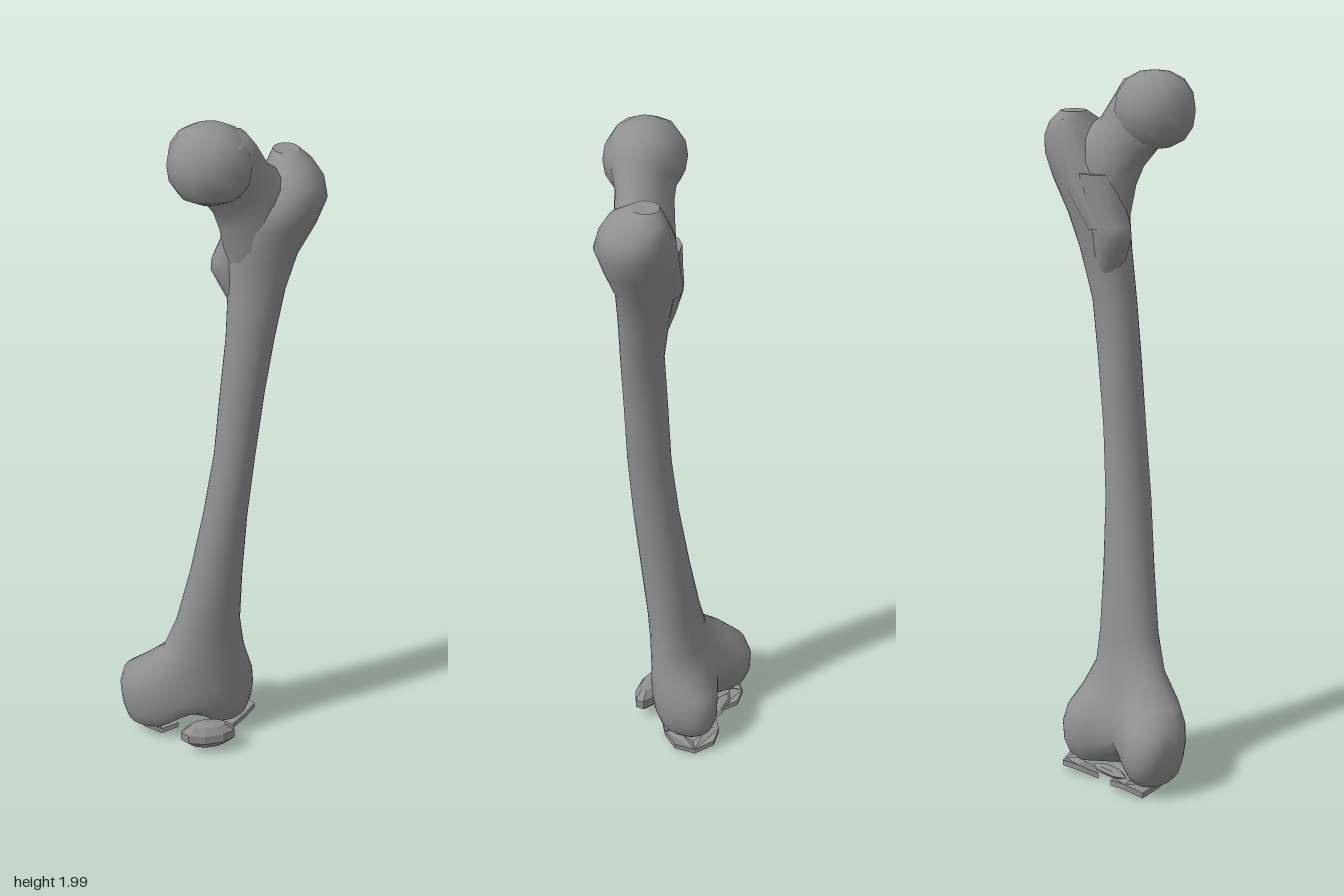
import * as THREE from 'three';
import { mergeVertices } from 'three/addons/utils/BufferGeometryUtils.js';

const bone = new THREE.MeshStandardMaterial({ color: 0x909090 });
const chipped = new THREE.MeshStandardMaterial({ color: 0x909090, flatShading: true, side: THREE.DoubleSide });

function part(name, geometry, material = bone) {
  const mesh = new THREE.Mesh(geometry, material);
  mesh.name = name;
  return mesh;
}

// Skin over oval sections; each is [x0, y0, x1, y1, zBack, zFront, notch, arch].
// notch splits the back into two square lobes, arch lifts the middle.
function loft(sections, sides = 16) {
  const pos = [], index = [];
  for (const [x0, y0, x1, y1, zb, zf, notch = 0, arch = 0] of sections) {
    for (let i = 0; i < sides; i++) {
      const t = (i / sides) * Math.PI * 2;
      let c = Math.cos(t), s = Math.sin(t);
      if (s < 0) {
        const p = 1 - 0.8 * notch;
        c = Math.sign(c) * Math.abs(c) ** p;
        s = -(Math.abs(s) ** p) * (1 - notch * Math.exp(-((c / 0.45) ** 2)));
      }
      pos.push(
        (x0 + x1 + c * (x1 - x0)) / 2,
        (y0 + y1 + c * (y1 - y0)) / 2 + arch * Math.exp(-((c / 0.4) ** 2)),
        (zb + zf + s * (zf - zb)) / 2,
      );
    }
  }
  const last = (sections.length - 1) * sides;
  for (let r = 0; r < last; r += sides) {
    for (let i = 0; i < sides; i++) {
      const j = (i + 1) % sides;
      index.push(r + i, r + sides + i, r + j, r + j, r + sides + i, r + sides + j);
    }
  }
  // end caps with their own rim, so the edge stays crisp
  for (const [start, top] of [[0, false], [last, true]]) {
    const ring = pos.slice(start * 3, (start + sides) * 3), base = pos.length / 3;
    const mid = [0, 1, 2].map((k) => ring.reduce((sum, v, i) => (i % 3 === k ? sum + v / sides : sum), 0));
    pos.push(...ring, ...mid);
    for (let i = 0; i < sides; i++) {
      const a = base + i, b = base + ((i + 1) % sides);
      index.push(base + sides, ...(top ? [b, a] : [a, b]));
    }
  }
  const g = new THREE.BufferGeometry();
  g.setAttribute('position', new THREE.Float32BufferAttribute(pos, 3));
  g.setIndex(index);
  g.computeVertexNormals();
  return g;
}

// Ellipsoid with adjustable squareness k (2 = round)
function blob(center, radii, k = 2, w = 12, h = 8) {
  let g = new THREE.SphereGeometry(1, w, h);
  g.deleteAttribute('uv');
  g.deleteAttribute('normal');
  g = mergeVertices(g);
  const p = g.attributes.position, v = new THREE.Vector3();
  for (let i = 0; i < p.count; i++) {
    v.fromBufferAttribute(p, i);
    v.divideScalar((Math.abs(v.x) ** k + Math.abs(v.y) ** k + Math.abs(v.z) ** k) ** (1 / k));
    p.setXYZ(i, v.x * radii[0], v.y * radii[1], v.z * radii[2]);
  }
  g.computeVertexNormals();
  return g.translate(...center);
}

// Thin broken crescent lying under a condyle
function crescent(cx, cz, rx, rz, from, to) {
  const n = 7, outer = [], inner = [];
  for (let i = 0; i <= n; i++) {
    const t = from + ((to - from) * i) / n, jag = i % 2 ? 1 : 0.9;
    outer.push(new THREE.Vector2(Math.cos(t) * rx * jag, Math.sin(t) * rz * jag));
    inner.unshift(new THREE.Vector2(Math.cos(t) * rx * 0.5, Math.sin(t) * rz * 0.5));
  }
  const g = new THREE.ExtrudeGeometry(new THREE.Shape([...outer, ...inner]), { depth: 0.016, bevelEnabled: false });
  g.rotateX(-Math.PI / 2);
  const p = g.attributes.position;
  for (let i = 0; i < p.count; i++) {
    const a = Math.atan2(p.getZ(i), p.getX(i));
    p.setY(i, p.getY(i) + 0.022 + 0.012 * Math.sin(a * 3));
  }
  return g.translate(cx, 0, cz);
}

export function createModel() {
  const model = new THREE.Group();
  model.name = 'thighBone';

  // Knee condyles, shaft and greater trochanter as one skin
  const level = (y, x0, x1, zb, zf, notch, arch) => [x0, y, x1, y, zb, zf, notch, arch];
  model.add(part('shaft', loft([
    level(0.04, -0.25, 0.075, -0.145, 0.015, 0.5, 0.06),
    level(0.06, -0.268, 0.092, -0.17, 0.045, 0.52, 0.055),
    level(0.10, -0.28, 0.106, -0.186, 0.06, 0.52, 0.03),
    level(0.15, -0.286, 0.112, -0.188, 0.067, 0.5, 0.01),
    level(0.20, -0.278, 0.108, -0.173, 0.067, 0.42),
    level(0.25, -0.24, 0.094, -0.128, 0.064, 0.25),
    level(0.32, -0.165, 0.075, -0.085, 0.062),
    level(0.42, -0.125, 0.062, -0.077, 0.07),
    level(0.60, -0.085, 0.065, -0.055, 0.085),
    level(0.80, -0.05, 0.075, -0.033, 0.10),
    level(1.00, -0.02, 0.095, -0.02, 0.105),
    level(1.20, -0.003, 0.12, -0.018, 0.103),
    level(1.36, 0.012, 0.145, -0.016, 0.10),
    level(1.50, 0.02, 0.175, -0.04, 0.095),
    level(1.60, 0.015, 0.21, -0.06, 0.09),
    level(1.69, 0.02, 0.26, -0.08, 0.107),
    level(1.76, 0.075, 0.285, -0.088, 0.118),
    level(1.81, 0.11, 0.277, -0.088, 0.10),
    level(1.85, 0.13, 0.25, -0.08, 0.075),
    level(1.88, 0.145, 0.215, -0.055, 0.02),
  ], 32)));

  // Neck leaning inward and forward to the ball
  model.add(part('neck', loft([
    [0.03, 1.52, 0.20, 1.64, -0.04, 0.08],
    [-0.003, 1.68, 0.20, 1.79, -0.055, 0.102],
    [-0.022, 1.735, 0.165, 1.835, -0.04, 0.112],
    [-0.057, 1.785, 0.12, 1.87, -0.02, 0.13],
    [-0.105, 1.815, 0.085, 1.935, -0.01, 0.168],
    [-0.13, 1.85, 0.055, 1.975, -0.01, 0.178],
    [-0.12, 1.90, 0.01, 1.985, 0.02, 0.15],
  ])));
  model.add(part('head', blob([-0.037, 1.894, 0.085], [0.112, 0.106, 0.106], 2.3)));

  // Bump on the inner back side, blending into the shaft and neck
  model.add(part('lesserTrochanter', loft([
    level(1.43, 0.04, 0.10, -0.02, 0.05),
    level(1.50, 0.003, 0.10, -0.042, 0.05),
    level(1.55, -0.022, 0.10, -0.052, 0.045),
    level(1.58, -0.02, 0.11, -0.057, 0.045),
    level(1.63, 0.003, 0.13, -0.065, 0.05),
    level(1.72, 0.02, 0.16, -0.072, 0.05),
  ], 12)));
  // Ridge running up to the greater trochanter
  model.add(part('rearCrest', loft([
    [0.01, 1.58, 0.10, 1.56, -0.062, 0.02],
    [0.06, 1.69, 0.17, 1.65, -0.08, 0.02],
    [0.11, 1.80, 0.22, 1.78, -0.09, 0.02],
    [0.145, 1.86, 0.20, 1.86, -0.07, 0.0],
  ], 10)));

  // Cartilage remnants under the joint and the chip in front
  model.add(part('innerCartilage', crescent(-0.165, -0.09, 0.08, 0.085, 0.5, 5.3), chipped));
  model.add(part('outerCartilage', crescent(0.03, -0.09, 0.092, 0.092, -2.2, 2.6), chipped));
  model.add(part('rearCartilage', blob([-0.09, 0.045, -0.13], [0.07, 0.013, 0.022], 2, 6, 4), chipped));
  model.add(part('frontChip', blob([-0.045, 0.068, 0.082], [0.086, 0.044, 0.038], 2, 9, 5), chipped));

  return model;
}
